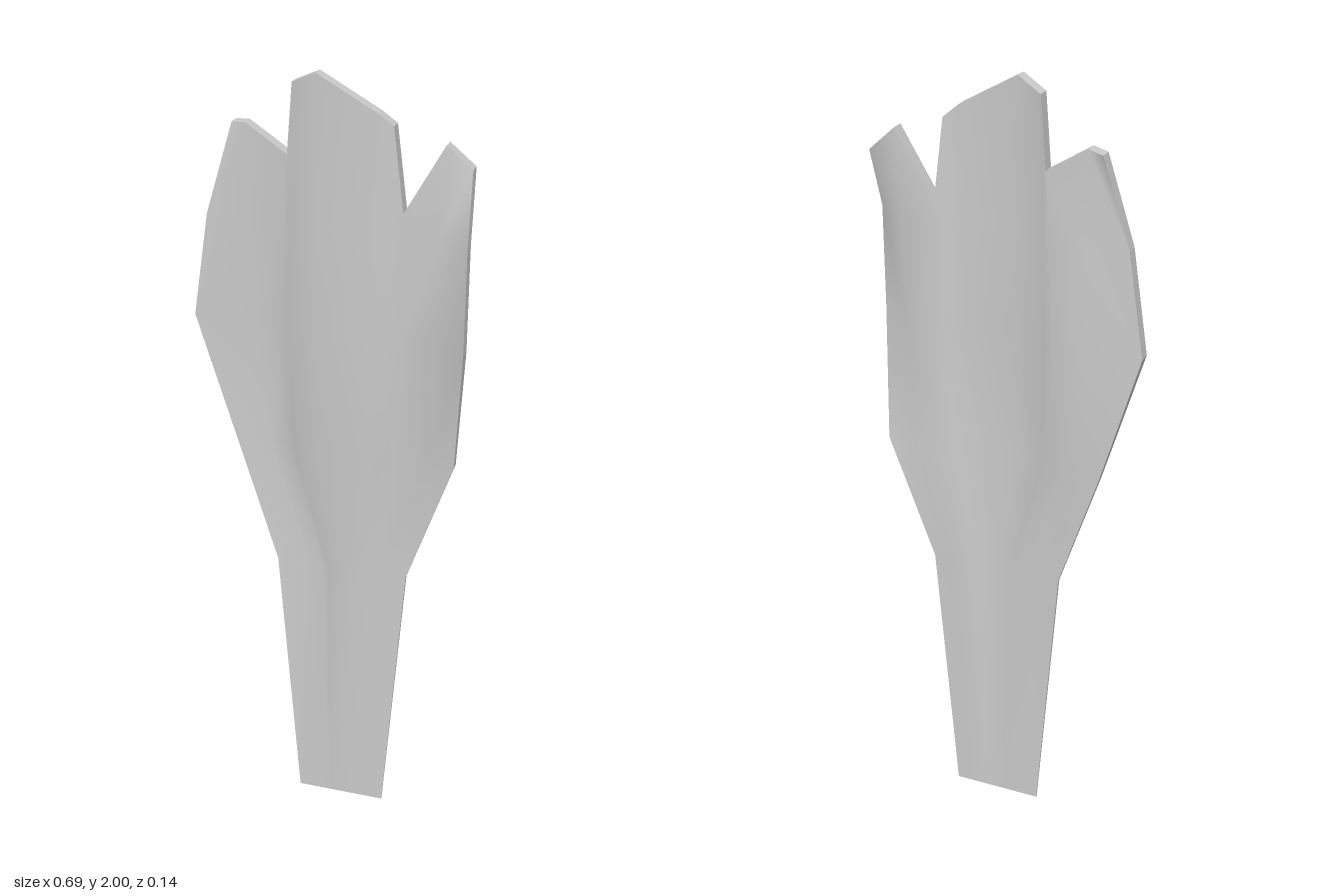
import * as THREE from 'three';

// Cross-sections from the foot up: height(s), thickness, x and middle z of each column
const even = (a, b) => [0, 0.26, 0.35, 0.4, 0.5, 0.62, 0.7, 0.77, 0.88, 1].map(t => a + (b - a) * t);
const sections = [
  { y: 0, t: 0.005, x: even(-0.09, 0.145), z: Array(10).fill(-0.021) },
  { y: 0.72, t: 0.01, x: even(-0.145, 0.2),
    z: [-0.021, -0.024, -0.022, -0.02, -0.012, -0.012, -0.018, -0.021, -0.022, -0.021] },
  { y: 1.05, t: 0.02, x: [-0.255, -0.17, -0.12, -0.1, -0.03, 0.09, 0.14, 0.17, 0.24, 0.315],
    z: [-0.038, -0.051, -0.037, -0.027, 0.008, 0.008, -0.01, -0.023, -0.029, -0.027] },
  { y: 1.38, t: 0.034, x: [-0.35, -0.2, -0.13, -0.11, -0.03, 0.1, 0.15, 0.18, 0.26, 0.345],
    z: [-0.028, -0.05, -0.039, -0.029, 0.007, 0.007, -0.007, -0.015, -0.01, 0.05] },
  { y: 1.64, t: 0.034, x: [-0.31, -0.21, -0.12, -0.1, -0.025, 0.11, 0.15, 0.185, 0.27, 0.345],
    z: [-0.028, -0.046, -0.031, -0.022, 0.007, 0.007, -0.005, -0.01, -0.003, 0.05] },
  // jagged broken top
  { y: [1.86, 1.865, 1.8, 1.97, 2, 1.92, 1.89, 1.69, 1.855, 1.8], t: 0.034,
    x: [-0.25, -0.21, -0.105, -0.09, -0.025, 0.12, 0.155, 0.18, 0.275, 0.335],
    z: [-0.053, -0.036, -0.027, -0.02, 0.007, 0.007, -0.005, -0.008, -0.012, -0.025] },
];
const rows = sections.length, cols = 10;

// side is 1 on the front sheet and -1 on the back sheet
function point(r, c, side) {
  const s = sections[r];
  return [s.x[c], Array.isArray(s.y) ? s.y[c] : s.y, s.z[c] + side * s.t / 2];
}

function geometry(positions, index) {
  const g = new THREE.BufferGeometry();
  g.setAttribute('position', new THREE.Float32BufferAttribute(positions, 3));
  if (index) g.setIndex(index);
  g.computeVertexNormals();
  return g;
}

// Smooth broad face
function sheet(side) {
  const pos = [], index = [];
  for (let r = 0; r < rows; r++)
    for (let c = 0; c < cols; c++) pos.push(...point(r, c, side));
  for (let r = 0; r < rows - 1; r++)
    for (let c = 0; c < cols - 1; c++) {
      const a = r * cols + c, b = a + 1, d = a + cols, e = d + 1;
      if (side > 0) index.push(a, b, e, a, e, d);
      else index.push(a, e, b, a, d, e);
    }
  return geometry(pos, index);
}

// Flat faces joining the two sheets, walked anticlockwise as seen from the front
function rim() {
  const loop = [];
  for (let c = 0; c < cols; c++) loop.push([0, c]);
  for (let r = 1; r < rows; r++) loop.push([r, cols - 1]);
  for (let c = cols - 2; c >= 0; c--) loop.push([rows - 1, c]);
  for (let r = rows - 2; r > 0; r--) loop.push([r, 0]);
  const pos = [];
  loop.forEach(([r, c], i) => {
    const [r2, c2] = loop[(i + 1) % loop.length];
    const a = point(r, c, 1), b = point(r2, c2, 1);
    const d = point(r, c, -1), e = point(r2, c2, -1);
    pos.push(...a, ...d, ...e, ...a, ...e, ...b);
  });
  return geometry(pos);
}

export function createModel() {
  const group = new THREE.Group();
  group.name = 'splinteredShard';
  const material = new THREE.MeshStandardMaterial({ color: 0xcccccc });
  const add = (name, g) => {
    const mesh = new THREE.Mesh(g, material);
    mesh.name = name;
    group.add(mesh);
  };
  add('frontFace', sheet(1));
  add('backFace', sheet(-1));
  add('brokenEdge', rim());
  return group;
}
